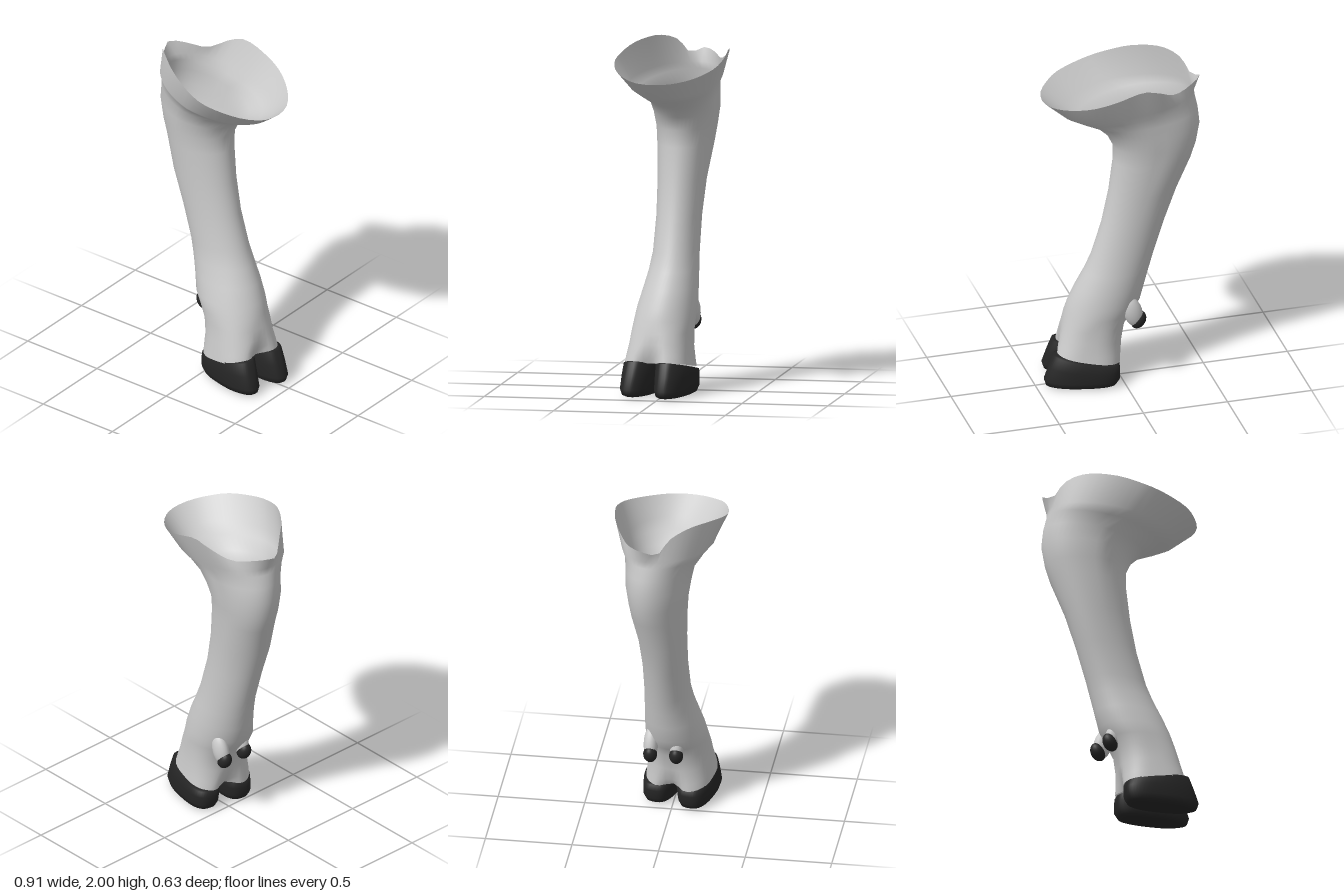
import * as THREE from 'three';

const SEG = 48;
const YAW = 0.22; // the foot turns slightly towards +z
const FOOT = new THREE.Vector3(0.21, 0, 0.037);

// Closed superellipse ring scaled to fit the box x0..x1, z0..z1; y rises by tilt from x0 to x1
function ring(y, tilt, x0, x1, z0, z1, { yaw = 0, n = 2, groove = 0, skew = 0, taper = 0 } = {}) {
  const raw = [];
  for (let j = 0; j < SEG; j++) {
    const t = (j / SEG) * Math.PI * 2, c = Math.cos(t), s = Math.sin(t);
    const r = 1 - groove * Math.exp(-((s / 0.2) ** 2));
    const x = Math.sign(c) * Math.abs(c) ** (2 / n) * r;
    let z = Math.sign(s) * Math.abs(s) ** (2 / n) * r;
    z = z * (1 - taper * Math.max(0, x) ** 2) - skew * Math.max(0, -x);
    raw.push(new THREE.Vector3(x * Math.cos(yaw) - z * Math.sin(yaw), 0, x * Math.sin(yaw) + z * Math.cos(yaw)));
  }
  const { min, max } = new THREE.Box3().setFromPoints(raw);
  return raw.map((p) => {
    const u = (p.x - min.x) / (max.x - min.x), w = (p.z - min.z) / (max.z - min.z);
    return new THREE.Vector3(x0 + u * (x1 - x0), y + tilt * (u - 0.5), z0 + w * (z1 - z0));
  });
}

// Skin stacked rings (bottom to top), optionally closing both ends
function loft(rings, capped) {
  const pos = rings.flat().flatMap((p) => p.toArray()), index = [];
  for (let i = 0; i < rings.length - 1; i++) {
    for (let j = 0; j < SEG; j++) {
      const k = (j + 1) % SEG, a = i * SEG + j, b = i * SEG + k;
      index.push(a, a + SEG, b, b, a + SEG, b + SEG);
    }
  }
  if (capped) {
    [0, rings.length - 1].forEach((i) => {
      const c = rings[i].reduce((s, p) => s.add(p), new THREE.Vector3()).divideScalar(SEG);
      const id = pos.length / 3;
      pos.push(c.x, c.y, c.z);
      for (let j = 0; j < SEG; j++) {
        const a = i * SEG + j, b = i * SEG + ((j + 1) % SEG);
        if (i === 0) index.push(id, a, b);
        else index.push(id, b, a);
      }
    });
  }
  const g = new THREE.BufferGeometry();
  g.setAttribute('position', new THREE.Float32BufferAttribute(pos, 3));
  g.setIndex(index);
  g.computeVertexNormals();
  return g;
}

export function createModel() {
  const model = new THREE.Group();
  const skin = new THREE.MeshStandardMaterial({ color: 0xcccccc, side: THREE.DoubleSide });
  const horn = new THREE.MeshStandardMaterial({ color: 0x262626 });
  const add = (name, geometry, material, parent = model) => {
    const mesh = new THREE.Mesh(geometry, material);
    mesh.name = name;
    parent.add(mesh);
    return mesh;
  };

  // Leg: y, tilt, back x, front x, min z, max z, shape
  const foot = { yaw: YAW, n: 2.4 };
  const top = { skew: 0.2 };
  const legRings = [
    [0.165, 0.07, -0.02, 0.375, -0.163, 0.235, { ...foot, n: 2.8, groove: 0.3 }],
    [0.21, 0.065, -0.02, 0.365, -0.157, 0.228, { ...foot, n: 2.7, groove: 0.15 }],
    [0.28, 0.04, -0.02, 0.35, -0.15, 0.215, { ...foot, groove: 0.03 }],
    [0.36, 0, -0.035, 0.335, -0.148, 0.203, foot],
    [0.43, 0, -0.08, 0.32, -0.154, 0.195, { yaw: YAW }],
    [0.5, 0, -0.122, 0.3, -0.16, 0.183, { yaw: YAW }],
    [0.6, 0, -0.145, 0.26, -0.158, 0.155, { yaw: 0.18 }],
    [0.7, 0, -0.17, 0.212, -0.154, 0.13, { yaw: 0.1 }],
    [0.8, 0, -0.197, 0.17, -0.15, 0.113],
    [1.0, 0, -0.26, 0.11, -0.152, 0.105],
    [1.2, 0, -0.33, 0.07, -0.168, 0.108],
    [1.4, 0, -0.4, 0.046, -0.195, 0.118, top],
    [1.5, 0, -0.43, 0.046, -0.21, 0.125, top],
    [1.6, -0.04, -0.45, 0.085, -0.226, 0.14, top],
    [1.68, -0.08, -0.44, 0.15, -0.23, 0.155, top],
    [1.74, -0.11, -0.425, 0.26, -0.24, 0.205, top],
    [1.78, -0.11, -0.422, 0.34, -0.262, 0.25, top],
  ].map((r) => ring(...r));

  // Wavy rim of the flared upper end
  const rim = new THREE.CatmullRomCurve3([
    [0.45, 1.815, 0.03], [0.43, 1.82, 0.13], [0.38, 1.835, 0.2], [0.3, 1.86, 0.265],
    [0.12, 1.9, 0.315], [0, 1.935, 0.3], [-0.15, 1.98, 0.24], [-0.3, 2.0, 0.13],
    [-0.38, 1.965, 0.04], [-0.42, 1.89, -0.02], [-0.45, 1.915, -0.1], [-0.38, 1.9, -0.17],
    [-0.27, 1.88, -0.23], [-0.15, 1.94, -0.3], [-0.06, 1.965, -0.315], [0.1, 1.92, -0.31],
    [0.22, 1.88, -0.275], [0.35, 1.84, -0.18], [0.43, 1.82, -0.07],
  ].map((p) => new THREE.Vector3(...p)), true);
  legRings.push(rim.getSpacedPoints(SEG).slice(0, SEG));
  add('leg', loft(legRings, false), skin);

  // Two hoof claws side by side, built in the turned frame of the foot
  const hoof = new THREE.Group();
  hoof.name = 'hoof';
  hoof.position.copy(FOOT);
  hoof.rotation.y = -YAW;
  model.add(hoof);
  const clawRows = [
    [0, 0, -0.165, 0.185, 0.04, 0.165],
    [0.012, 0, -0.19, 0.215, 0.022, 0.188],
    [0.045, 0, -0.21, 0.225, 0.012, 0.2],
    [0.11, 0.03, -0.212, 0.198, 0.006, 0.2],
    [0.165, 0.07, -0.208, 0.17, 0.002, 0.196],
    [0.168, 0.07, -0.19, 0.15, 0.012, 0.18],
  ];
  for (const side of [1, -1]) {
    const rings = clawRows.map(([y, tilt, u0, u1, v0, v1]) =>
      ring(y, tilt, u0, u1, side > 0 ? v0 : -v1, side > 0 ? v1 : -v0, { n: 2.8, taper: 0.25 }));
    add(side > 0 ? 'leftClaw' : 'rightClaw', loft(rings, true), horn, hoof);
  }

  // Dewclaws behind the foot, each with a fleshy base
  for (const z of [0.04, -0.11]) {
    const base = add('dewclawBase', new THREE.SphereGeometry(1, 20, 14), skin);
    base.scale.set(0.055, 0.1, 0.042);
    base.position.set(-0.05, 0.45, z);
    base.rotation.z = -0.3;
    const claw = add('dewclaw', new THREE.SphereGeometry(1, 20, 14), horn);
    claw.scale.set(0.042, 0.055, 0.04);
    claw.position.set(-0.083, 0.395, z);
    claw.rotation.z = 0.5;
  }
  return model;
}
